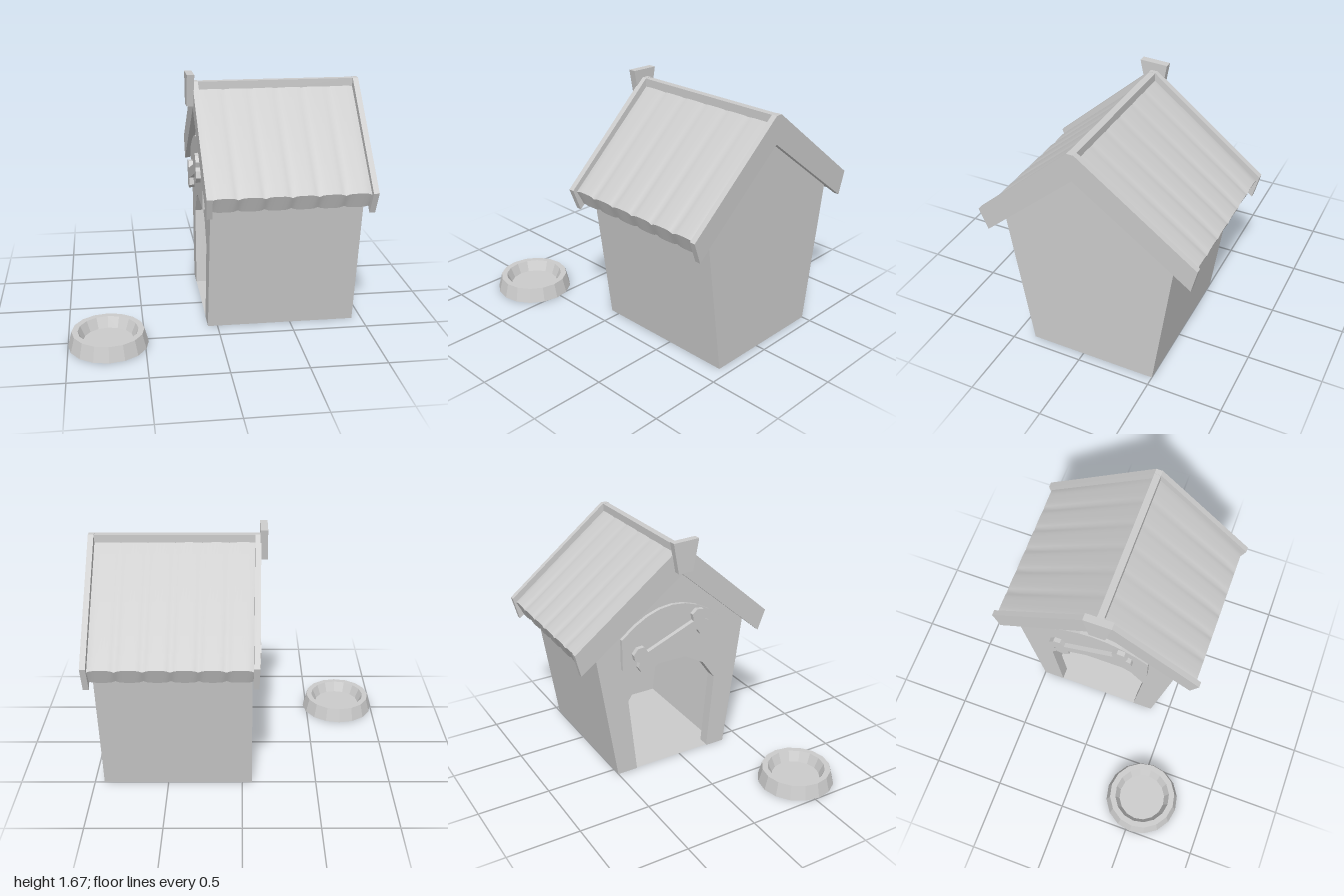
import * as THREE from 'three';

const flat = new THREE.MeshStandardMaterial({ color: 0xcccccc, flatShading: true });
const smooth = new THREE.MeshStandardMaterial({ color: 0xcccccc });
const open = new THREE.MeshStandardMaterial({ color: 0xcccccc, flatShading: true, side: THREE.DoubleSide });

function named(name, geometry, material = flat) {
  const mesh = new THREE.Mesh(geometry, material);
  mesh.name = name;
  return mesh;
}

// Extrudes a [z, y] outline along x, from x0 to x1
function slab(points, x0, x1) {
  const shape = new THREE.Shape(points.map(([z, y]) => new THREE.Vector2(z, y)));
  const g = new THREE.ExtrudeGeometry(shape, { depth: x1 - x0, bevelEnabled: false });
  return g.rotateY(-Math.PI / 2).translate(x1, 0, 0);
}

// Gable-end board that leans outward towards the ridge
function gableBoard(x0, x1, lean) {
  const g = slab([[0.675, 1.01], [0.005, 1.61], [-0.04, 1.61], [-0.8, 1.025],
    [-0.76, 0.865], [-0.015, 1.425], [0.62, 0.865]], x0, x1);
  const p = g.attributes.position;
  for (let i = 0; i < p.count; i++) {
    p.setX(i, p.getX(i) + lean * (p.getY(i) - 0.865) / 0.745);
  }
  g.computeVertexNormals();
  return g;
}

// Roof slope of six slightly rounded planks; each end is [z, topY, z, bottomY]
function roofSlope(backEnd, frontEnd, eaveAtFront) {
  const g = new THREE.BoxGeometry(1, 1, 1, 48, 1, 8);
  const p = g.attributes.position;
  const mix = THREE.MathUtils.lerp;
  for (let i = 0; i < p.count; i++) {
    const u = p.getX(i) + 0.5, v = p.getZ(i) + 0.5, k = p.getY(i) > 0 ? 0 : 2;
    const rise = eaveAtFront ? 1 - v : v;
    const t = (u * 6) % 1;
    const dip = 0.012 * Math.pow(2 * t - 1, 4) * (1 - 0.7 * rise);
    const x = mix(mix(-0.075, -0.095, rise), mix(0.945, 0.965, rise), u);
    const y = mix(backEnd[k + 1], frontEnd[k + 1], v) + (k ? dip : -dip);
    p.setXYZ(i, x, y, mix(backEnd[k], frontEnd[k], v));
  }
  g.computeVertexNormals();
  return g;
}

// Bone outline from one quarter, mirrored both ways, then tilted
function boneOutline() {
  const quarter = [[0.19, 0.035], [0.2, 0.085], [0.245, 0.1], [0.29, 0.075], [0.297, 0.03]];
  const half = [...quarter, [0.272, 0]];
  const right = [...half, ...quarter.slice().reverse().map(([a, b]) => [a, -b])];
  const all = [...right, ...right.map(([a, b]) => [-a, -b])];
  const c = Math.cos(0.38), s = Math.sin(0.38);
  return all.map(([a, b]) => [-0.09 + a * c - b * s, 0.965 + a * s + b * c]);
}

export function createModel() {
  const model = new THREE.Group();
  const house = new THREE.Group();
  house.name = 'kennel';
  model.add(house);

  // Gable walls, the left one notched by an arched doorway
  const gable = [[0.37, 0], [0.51, 0.975], [-0.017, 1.44], [-0.64, 0.965], [-0.5, 0]];
  const arch = [[-0.29, 0], [-0.345, 0.56], [-0.25, 0.7], [-0.105, 0.785]];
  const doorway = [...arch, ...arch.slice().reverse().map(([z, y]) => [-z, y])]
    .map(([z, y]) => [z - 0.062, y]);
  house.add(named('backWall', slab(gable, 0.865, 0.935)));
  house.add(named('doorWall', slab([...gable, ...doorway], -0.065, 0.015)));

  // Side walls, splayed outward
  house.add(named('sideWallFront',
    slab([[0.37, 0], [0.51, 0.975], [0.44, 1.04], [0.3, 0]], 0.015, 0.865)));
  house.add(named('sideWallRear',
    slab([[-0.5, 0], [-0.64, 0.965], [-0.57, 1.02], [-0.43, 0]], 0.015, 0.865)));

  // Floor, reaching out through the doorway
  const floor = new THREE.PlaneGeometry(0.93, 0.74).rotateX(-Math.PI / 2).translate(0.4, 0.006, -0.065);
  house.add(named('floor', floor, open));

  // Roof
  const ridge = [-0.017, 1.575, -0.017, 1.455];
  house.add(named('roofFront', roofSlope(ridge, [0.645, 1.005, 0.6, 0.9], true), smooth));
  house.add(named('roofRear', roofSlope([-0.778, 1.005, -0.735, 0.9], ridge, false), smooth));
  house.add(named('ridgeBeam', new THREE.BoxGeometry(1.07, 0.12, 0.045).translate(0.435, 1.548, -0.0175)));
  house.add(named('gableBoardDoor', gableBoard(-0.105, -0.067, -0.02)));
  house.add(named('gableBoardBack', gableBoard(0.938, 0.975, 0.024)));

  // Wedge at the ridge end
  house.add(named('ridgeWedge',
    slab([[0.08, 1.668], [0.037, 1.45], [-0.071, 1.45], [-0.108, 1.662]], -0.167, -0.118)));

  // Arched plaque with a bone above the door
  const plaque = [[-0.455, 0.82], [0.31, 0.82]];
  for (let i = 0; i <= 8; i++) {
    const t = 1 - i / 4;
    plaque.push([-0.0725 + 0.3825 * t, 1.04 + 0.17 * (1 - t * t)]);
  }
  house.add(named('plaque', slab(plaque, -0.092, -0.06)));
  house.add(named('bone', slab(boneOutline(), -0.124, -0.085)));

  // Food bowl, open underneath
  const profile = [[0, 0.03], [0.165, 0.03], [0.197, 0.1], [0.236, 0.1], [0.262, 0]]
    .map(([r, y]) => new THREE.Vector2(r, y)).reverse();
  const bowl = named('bowl', new THREE.LatheGeometry(profile, 16), open);
  bowl.position.set(-0.738, 0, 0.533);
  model.add(bowl);

  return model;
}
